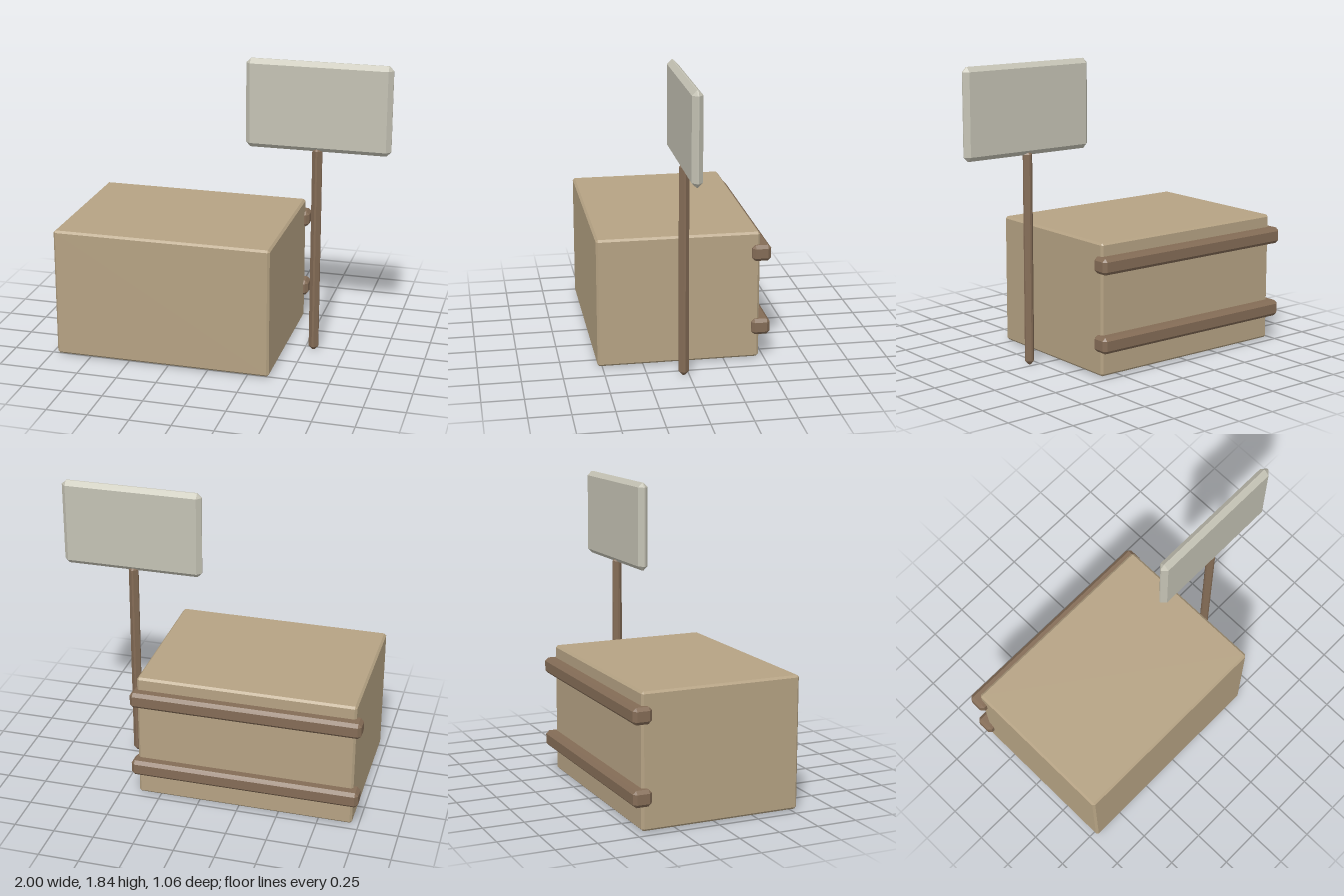
import * as THREE from 'three';
import { ConvexGeometry } from 'three/addons/geometries/ConvexGeometry.js';

const paint = (color) => new THREE.MeshStandardMaterial({ color, flatShading: true });

// Box between two corners with every edge and corner cut by c
function chamferedBox(name, min, max, c, material) {
  const lo = new THREE.Vector3(...min), hi = new THREE.Vector3(...max);
  const half = hi.clone().sub(lo).multiplyScalar(0.5);
  const points = [];
  for (const sx of [-1, 1]) for (const sy of [-1, 1]) for (const sz of [-1, 1]) {
    for (const axis of ['x', 'y', 'z']) {
      const p = half.clone().subScalar(c);
      p[axis] = half[axis];
      points.push(p.multiply(new THREE.Vector3(sx, sy, sz)));
    }
  }
  const mesh = new THREE.Mesh(new ConvexGeometry(points), material);
  mesh.name = name;
  mesh.position.copy(lo).add(hi).multiplyScalar(0.5);
  return mesh;
}

export function createModel() {
  const group = new THREE.Group();
  group.name = 'crateWithSign';
  const crateColor = paint(0xb5a283), wood = paint(0x846c56), board = paint(0xc4c2b4);

  // Crate body
  group.add(chamferedBox('crate', [-0.96, 0.01, -0.465], [0.385, 0.817, 0.53], 0.013, crateColor));

  // Two battens across the back, overhanging both sides
  for (const [name, y] of [['lowerBatten', 0.213], ['upperBatten', 0.688]]) {
    group.add(chamferedBox(name, [-1, y - 0.05, -0.53], [0.415, y + 0.05, -0.415], 0.02, wood));
  }

  // Sign post and board beside the crate
  group.add(chamferedBox('signPost', [0.525, 0, 0.002], [0.585, 1.32, 0.062], 0.024, wood));
  group.add(chamferedBox('signBoard', [0.115, 1.293, 0], [1, 1.84, 0.064], 0.028, board));

  return group;
}
